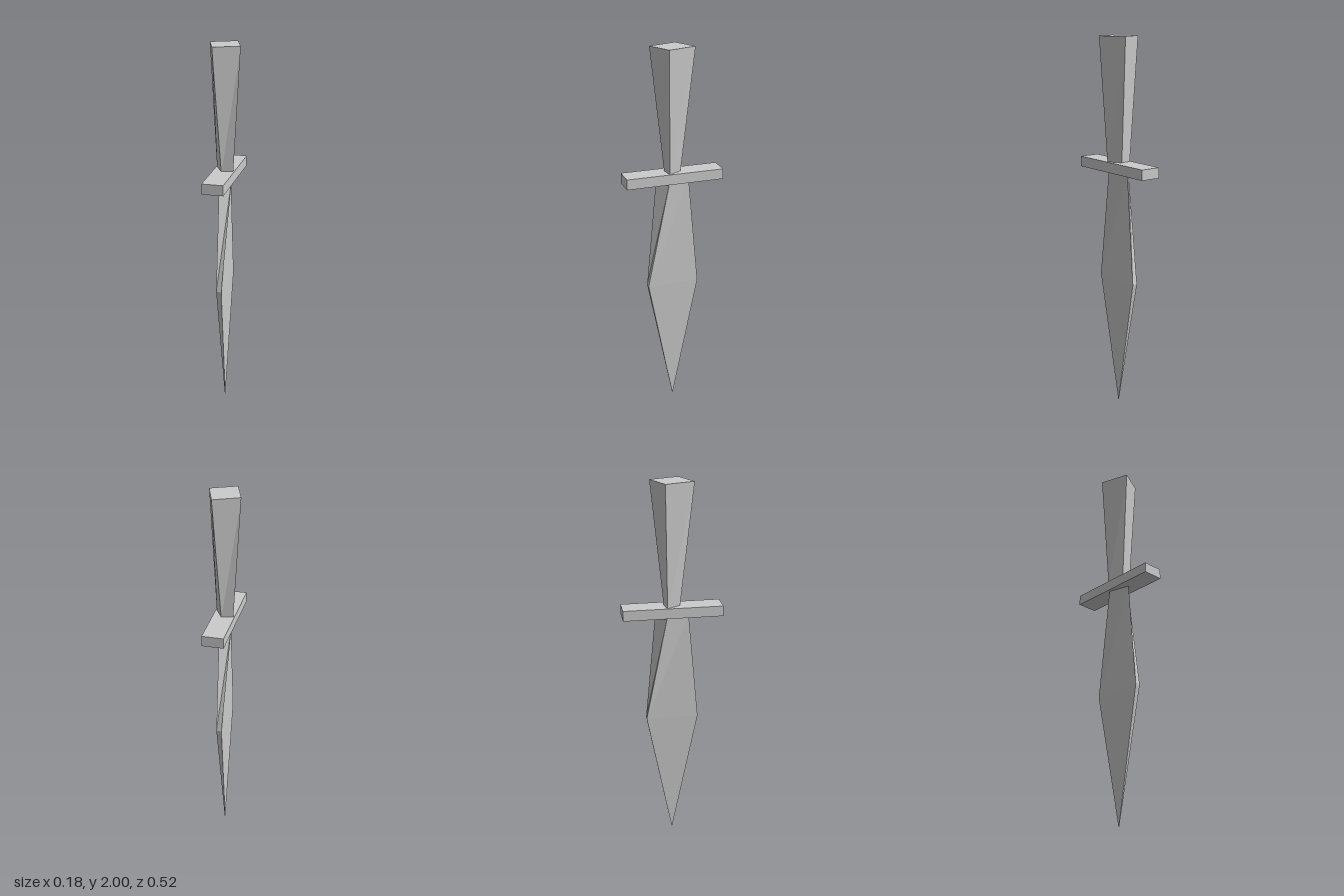
import * as THREE from 'three';

const material = new THREE.MeshStandardMaterial({ color: 0xcccccc, flatShading: true });

// Four-cornered section: two corners given, the other two follow by half-turn symmetry
const section = (y, [ax, az], [bx, bz]) =>
  [[ax, az], [bx, bz], [-ax, -az], [-bx, -bz]].map(([x, z]) => [x, y, z]);

// Faceted solid through four-cornered sections, listed from top to bottom
function loft(name, sections) {
  const points = [];
  const tri = (...corners) => corners.forEach((c) => points.push(...c));
  for (let s = 0; s < sections.length - 1; s++) {
    const top = sections[s], low = sections[s + 1];
    for (let i = 0; i < 4; i++) {
      const j = (i + 1) % 4;
      tri(top[i], top[j], low[j]);
      tri(top[i], low[j], low[i]);
    }
  }
  const t = sections[0], b = sections[sections.length - 1];
  tri(t[0], t[3], t[2]);
  tri(t[0], t[2], t[1]);
  tri(b[0], b[2], b[3]);
  tri(b[0], b[1], b[2]);
  const geometry = new THREE.BufferGeometry();
  geometry.setAttribute('position', new THREE.Float32BufferAttribute(points, 3));
  geometry.computeVertexNormals();
  const mesh = new THREE.Mesh(geometry, material);
  mesh.name = name;
  return mesh;
}

export function createModel() {
  const group = new THREE.Group();
  group.name = 'dagger';

  // Grip, flaring and turning slightly towards the pommel end
  group.add(loft('handle', [
    section(2, [0.04, -0.107], [0.09, 0.046]),
    section(1.34, [0.01, -0.04], [0.05, 0.03]),
  ]));

  // Flat bar between grip and blade
  const guard = new THREE.Mesh(new THREE.BoxGeometry(0.112, 0.055, 0.524), material);
  guard.name = 'crossguard';
  guard.position.y = 1.325;
  group.add(guard);

  // Blade: diamond-like root, thin wide belly, point at the ground
  group.add(loft('blade', [
    section(1.3, [0.01, -0.087], [0.042, 0.03]),
    section(0.71, [0.014, -0.14], [0.014, 0.14]),
    section(0, [0.001, -0.001], [0.001, 0.001]),
  ]));

  return group;
}
